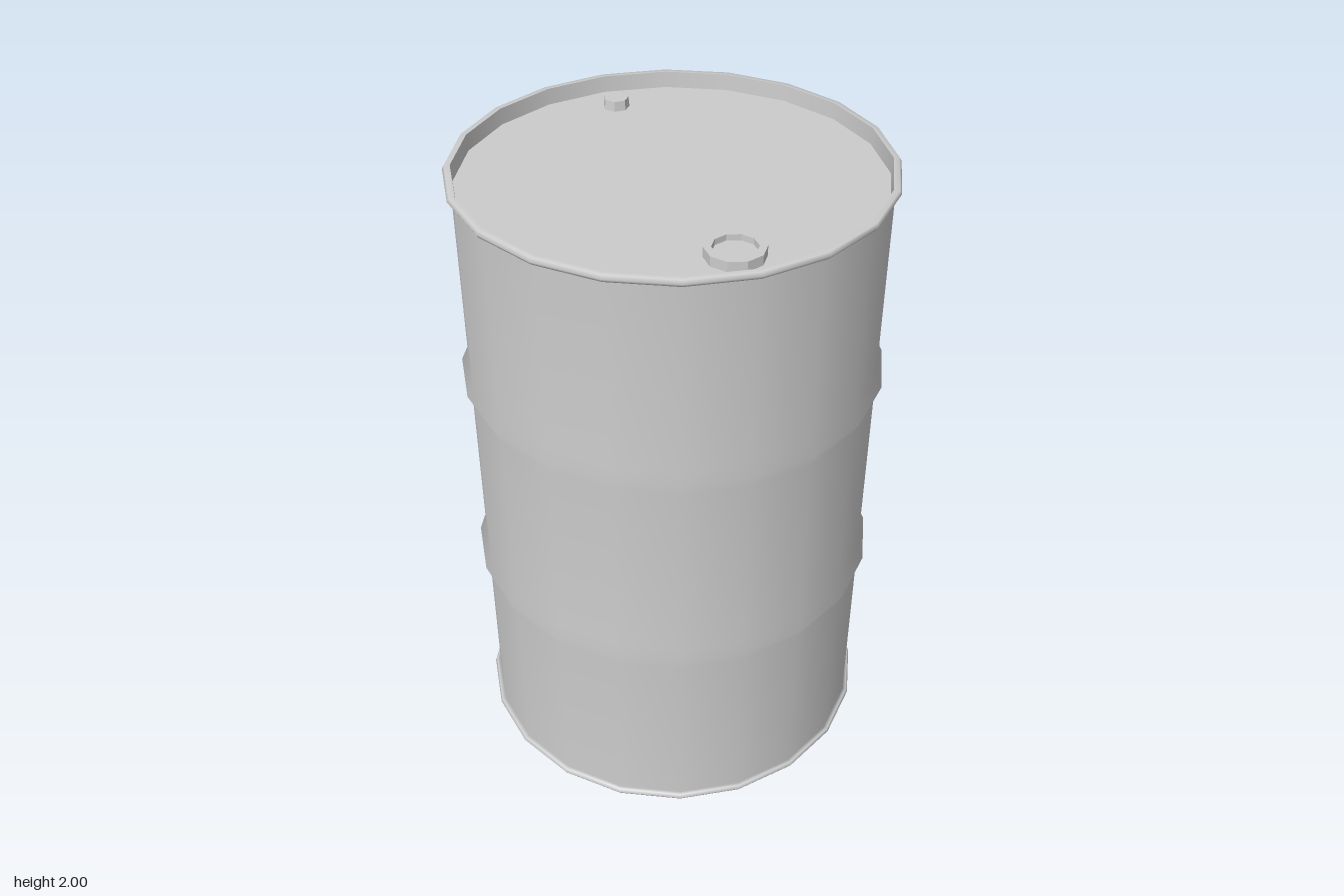
import * as THREE from 'three';

const SIDES = 20;

export function createModel() {
  const drum = new THREE.Group();
  drum.name = 'drum';
  const smooth = new THREE.MeshStandardMaterial({ color: 0xcccccc });
  const flat = new THREE.MeshStandardMaterial({ color: 0xcccccc, flatShading: true });

  const add = (name, geometry, material, x = 0, y = 0, z = 0) => {
    const mesh = new THREE.Mesh(geometry, material);
    mesh.name = name;
    mesh.position.set(x, y, z);
    drum.add(mesh);
    return mesh;
  };
  const lathe = (points, sides) =>
    new THREE.LatheGeometry(points.map(([r, y]) => new THREE.Vector2(r, y)), sides);

  // Shell with rolled rims and two pressed hoops, profile from bottom to top
  const hoop = (y) => [[0.63, y - 0.04], [0.65, y], [0.63, y + 0.04]];
  add('shell', lathe([
    [0.625, 0.0], [0.642, 0.0], [0.648, 0.01], [0.642, 0.02], [0.63, 0.02],
    ...hoop(0.655), ...hoop(1.345),
    [0.63, 1.98], [0.642, 1.98], [0.648, 1.99], [0.642, 2.0], [0.625, 2.0],
  ], SIDES), smooth);

  // Inner walls of the rims
  add('topRimInside', lathe([[0.625, 2.0], [0.622, 1.95]], SIDES), smooth);
  add('bottomRimInside', lathe([[0.622, 0.012], [0.625, 0.0]], SIDES), smooth);

  // Recessed end discs, with a corner on the z axis like the shell
  const disc = () => new THREE.CircleGeometry(0.622, SIDES, Math.PI / 2);
  add('lid', disc().rotateX(-Math.PI / 2), flat, 0, 1.95, 0);
  add('base', disc().rotateX(Math.PI / 2), flat, 0, 0.012, 0);

  // Large bung: raised collar around a sunken plug
  add('largeBung', lathe([
    [0.085, 0], [0.085, 0.03], [0.063, 0.03], [0.063, 0.012], [0, 0.012],
  ], 10), flat, 0, 1.95, 0.468);

  // Small bung: plain cap
  add('smallBung', new THREE.CylinderGeometry(0.038, 0.041, 0.03, 7), flat, 0, 1.965, -0.508)
    .rotation.y = Math.PI;

  return drum;
}
